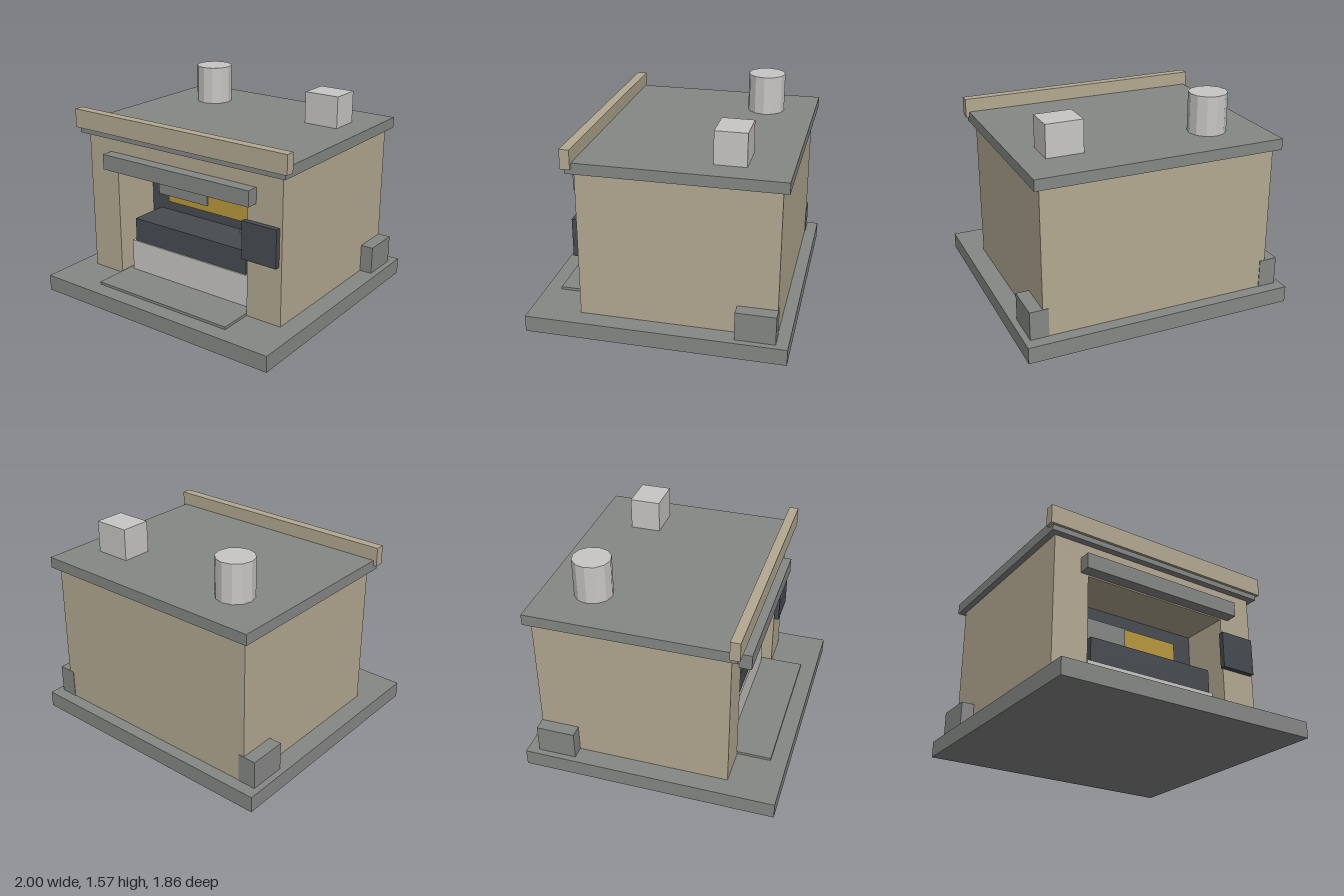
import * as THREE from 'three';

const material = (name, color) => new THREE.MeshStandardMaterial({ name, color });

export function createModel() {
  const group = new THREE.Group();
  const tan = material('sandstone', 0xb4aa92);
  const grey = material('greyStone', 0x868886);
  const dark = material('darkIron', 0x474b50);
  const pale = material('paleStone', 0xc9c7c5);
  const gold = material('gold', 0xb9983c);

  const add = (name, geometry, mat) => {
    const mesh = new THREE.Mesh(geometry, mat);
    mesh.name = name;
    group.add(mesh);
    return mesh;
  };
  // Box given by its extents on each axis
  const box = (name, mat, [x0, x1], [y0, y1], [z0, z1]) => {
    const mesh = add(name, new THREE.BoxGeometry(x1 - x0, y1 - y0, z1 - z0), mat);
    mesh.position.set((x0 + x1) / 2, (y0 + y1) / 2, (z0 + z1) / 2);
    return mesh;
  };

  // Plinth, hearth slab and solid rear body
  box('base', grey, [-1, 1], [0, 0.12], [-0.93, 0.93]);
  box('hearthSlab', grey, [-0.58, 0.58], [0.115, 0.14], [0.18, 0.81]);
  box('rearBody', tan, [-0.86, 0.86], [0.12, 1.2], [-0.84, 0.17]);

  // Front wall with the opening cut up from the floor
  const wall = new THREE.Shape([
    [-0.86, 0.12], [-0.59, 0.12], [-0.59, 0.96], [0.58, 0.96],
    [0.58, 0.12], [0.86, 0.12], [0.86, 1.2], [-0.86, 1.2],
  ].map(([x, y]) => new THREE.Vector2(x, y)));
  add('frontWall', new THREE.ExtrudeGeometry(wall, { depth: 0.39, bevelEnabled: false }), tan)
    .position.z = 0.17;

  // Inside the opening
  box('backPanel', dark, [-0.59, 0.58], [0.12, 0.96], [0.165, 0.178]);
  box('lowerCounter', pale, [-0.54, 0.53], [0.14, 0.38], [0.178, 0.485]);
  box('upperCounter', dark, [-0.51, 0.51], [0.38, 0.56], [0.178, 0.475]);
  box('goldPanel', gold, [-0.42, 0.42], [0.63, 0.86], [0.178, 0.19]);
  box('greyPanel', grey, [-0.51, -0.04], [0.68, 0.86], [0.178, 0.2]);
  box('counterRod', gold, [0.28, 0.55], [0.56, 0.57], [0.19, 0.23]);

  // Front fittings
  box('lintel', grey, [-0.65, 0.65], [0.97, 1.085], [0.56, 0.65]);
  box('sidePlate', dark, [0.56, 0.84], [0.56, 0.84], [0.56, 0.6]);

  // Roof, parapet and chimneys
  box('roof', grey, [-0.905, 0.905], [1.2, 1.28], [-0.885, 0.61]);
  box('parapet', tan, [-0.93, 0.93], [1.24, 1.38], [0.56, 0.63]);
  box('squareChimney', pale, [0.445, 0.715], [1.28, 1.515], [-0.58, -0.355]);
  const flue = new THREE.CylinderGeometry(0.138, 0.138, 0.285, 12).toNonIndexed();
  flue.computeVertexNormals();
  add('roundChimney', flue, pale).position.set(-0.513, 1.4225, -0.515);

  // Buttresses at the rear corners
  for (const s of [-1, 1]) {
    box('buttress', grey, s > 0 ? [0.82, 0.955] : [-0.955, -0.82], [0.12, 0.33], [-0.844, -0.56]);
  }
  return group;
}
